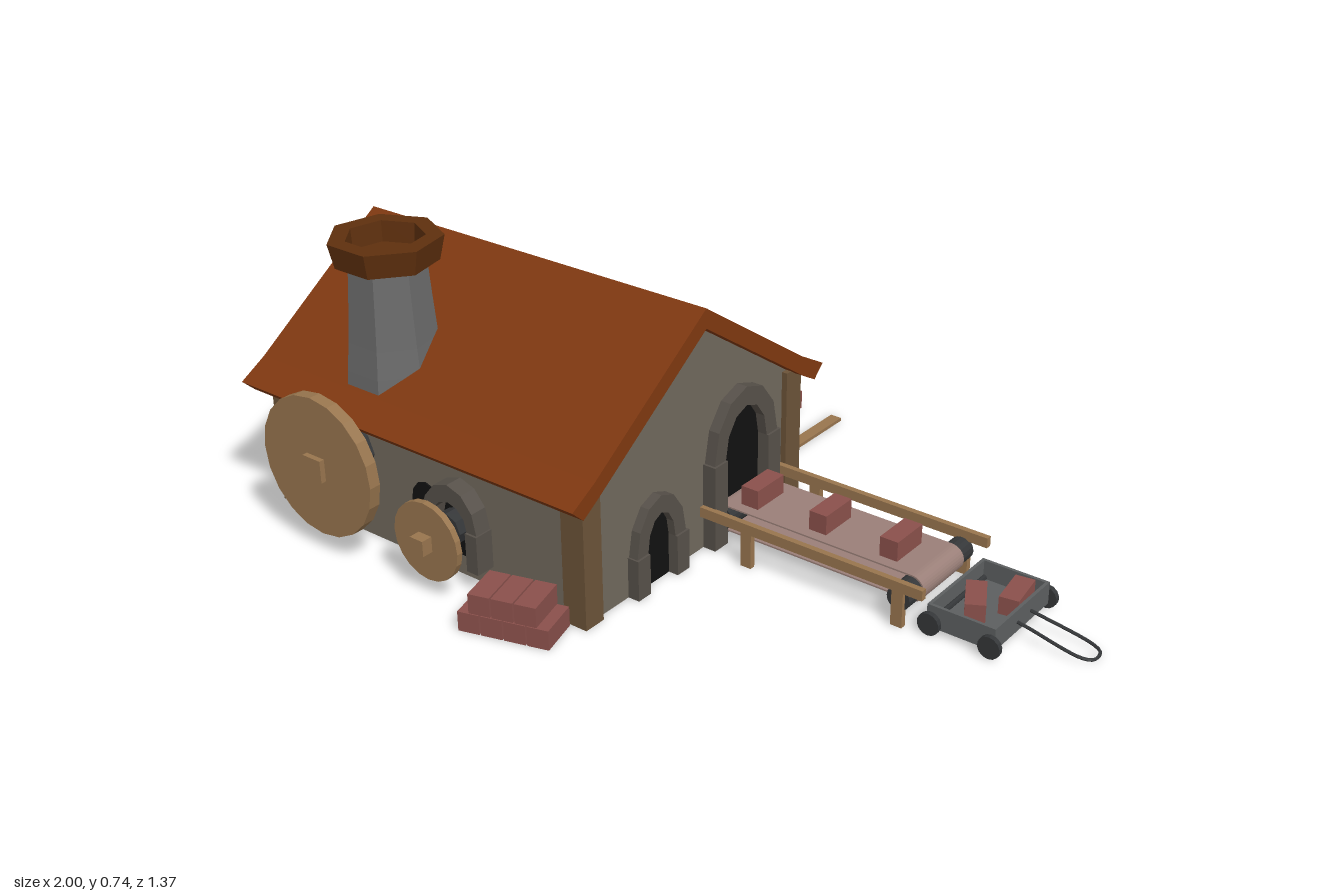
import * as THREE from 'three';

const mat = (color, side = THREE.FrontSide) =>
  new THREE.MeshStandardMaterial({ color, flatShading: true, side });
const M = {
  wall: mat(0x70685c), roof: mat(0x7f3810), cap: mat(0x5f300e), wood: mat(0x98754e),
  post: mat(0x6b5338), stone: mat(0x6a6a6a), arch: mat(0x565049), brick: mat(0x8a504b),
  belt: mat(0x9a7f78), metal: mat(0x5c5f60), dark: mat(0x343638), black: mat(0x111111),
};

function add(parent, name, geometry, material, x = 0, y = 0, z = 0) {
  const mesh = new THREE.Mesh(geometry, material);
  mesh.name = name;
  mesh.position.set(x, y, z);
  parent.add(mesh);
  return mesh;
}

// box given by its minimum and maximum along each axis
function span(parent, name, material, x0, x1, y0, y1, z0, z1) {
  return add(parent, name, new THREE.BoxGeometry(x1 - x0, y1 - y0, z1 - z0), material,
    (x0 + x1) / 2, (y0 + y1) / 2, (z0 + z1) / 2);
}

function subgroup(parent, name, x = 0, y = 0, z = 0) {
  const g = new THREE.Group();
  g.name = name;
  g.position.set(x, y, z);
  parent.add(g);
  return g;
}

const extrude = (points, depth) => new THREE.ExtrudeGeometry(
  new THREE.Shape(points.map(p => new THREE.Vector2(...p))), { depth, bevelEnabled: false });

// (z, y) profile extruded along x between x0 and x1
function alongX(parent, name, points, material, x0, x1) {
  const mesh = add(parent, name, extrude(points, x1 - x0), material, x1, 0, 0);
  mesh.rotation.y = -Math.PI / 2;
  return mesh;
}

// cylinder lying along z
function axle(parent, name, material, r, length, x, y, z, sides = 16) {
  const mesh = add(parent, name, new THREE.CylinderGeometry(r, r, length, sides), material, x, y, z);
  mesh.rotation.x = Math.PI / 2;
  return mesh;
}

// half-ring of points over an opening, from right to left
function arcPoints(halfWidth, spring, top, n = 6) {
  return Array.from({ length: n + 1 }, (_, i) => {
    const a = (i / n) * Math.PI;
    return [halfWidth * Math.cos(a), spring + (top - spring) * Math.sin(a)];
  });
}

// stone archway facing local +z: dark opening, curved head and thicker jambs
function archway(parent, name, o) {
  const g = subgroup(parent, name);
  const outer = arcPoints(o.outer * 0.95, o.spring, o.top);
  const inner = arcPoints(o.inner, o.spring, o.innerTop);
  add(g, 'archHead', extrude([...outer, ...inner.reverse()], o.depth), M.arch);
  for (const s of [-1, 1]) {
    const w = o.outer - o.inner;
    add(g, 'archJamb', new THREE.BoxGeometry(w, o.spring, o.depth + 0.006), M.arch,
      s * (o.inner + w / 2), o.spring / 2, o.depth / 2 + 0.003);
  }
  add(g, 'opening', extrude([[-o.inner, 0], [o.inner, 0], ...arcPoints(o.inner, o.spring, o.innerTop)], 0.004),
    M.black);
  return g;
}

function buildHouse(root) {
  const g = subgroup(root, 'house');
  alongX(g, 'walls', [[-0.295, 0], [0.503, 0], [0.503, 0.345], [0.105, 0.615], [-0.295, 0.345]],
    M.wall, -0.95, 0.02);
  alongX(g, 'roof', [[0.54, 0.305], [0.575, 0.338], [0.5, 0.38], [0.105, 0.65], [-0.29, 0.38],
    [-0.367, 0.338], [-0.333, 0.305], [-0.285, 0.333], [0.105, 0.6], [0.495, 0.333]], M.roof, -1, 0.06);
  for (const [x0, x1] of [[-0.965, -0.905], [-0.03, 0.035]])
    for (const [z0, z1] of [[0.455, 0.515], [-0.31, -0.25]])
      span(g, 'cornerPost', M.post, x0, x1, 0, 0.345, z0, z1);

  // two doorways in the gable end
  const small = archway(g, 'smallDoorway', { outer: 0.094, inner: 0.05, spring: 0.105, top: 0.235, innerTop: 0.19, depth: 0.025 });
  const large = archway(g, 'kilnDoorway', { outer: 0.132, inner: 0.082, spring: 0.225, top: 0.387, innerTop: 0.338, depth: 0.03 });
  small.position.set(0.02, 0, 0.255);
  large.position.set(0.02, 0, -0.065);
  small.rotation.y = large.rotation.y = Math.PI / 2;

  // openings in the front wall
  const housing = archway(g, 'wheelHousing', { outer: 0.09, inner: 0.055, spring: 0.1, top: 0.205, innerTop: 0.16, depth: 0.045 });
  housing.position.set(-0.345, 0.055, 0.503);
  add(g, 'wallOpening', extrude([[-0.045, 0], [0.045, 0], ...arcPoints(0.045, 0.07, 0.125)], 0.005),
    M.black, -0.46, 0.085, 0.502);

  // seven-sided chimney with a hollow flared cap
  const c = subgroup(g, 'chimney', -0.66, 0, 0.385);
  const lathe = pts => new THREE.LatheGeometry(pts.map(p => new THREE.Vector2(...p)), 7, Math.PI);
  add(c, 'stack', lathe([[0.122, 0.35], [0.116, 0.42], [0.108, 0.49], [0.1, 0.59], [0.093, 0.69]]), M.stone);
  add(c, 'chimneyCap', lathe([[0, 0.69], [0.092, 0.69], [0.095, 0.742], [0.138, 0.742], [0.124, 0.68], [0.07, 0.68]].reverse()),
    mat(0x5f300e, THREE.DoubleSide));
}

function buildWheel(root, name, x, y, r, z0, z1, axleR) {
  const g = subgroup(root, name, x, y, 0);
  axle(g, 'disc', M.wood, r, z1 - z0, 0, 0, (z0 + z1) / 2, 20);
  axle(g, 'axle', M.dark, axleR, 0.1, 0, 0, 0.55, 10);
  axle(g, 'bearing', M.dark, axleR * 1.9, 0.045, 0, 0, 0.525, 8);
  add(g, 'hub', new THREE.BoxGeometry(axleR * 1.8, axleR * 1.8, 0.05), M.wood, 0, 0, 0.62);
}

function buildConveyor(root) {
  const g = subgroup(root, 'conveyor');
  for (const [z0, z1] of [[-0.22, -0.205], [0.065, 0.08]]) {
    span(g, 'rail', M.wood, 0.02, 0.637, 0.09, 0.116, z0, z1);
    for (const x of [0.14, 0.558]) span(g, 'leg', M.wood, x, x + 0.03, 0, 0.092, z0, z1);
  }
  // belt loop around two rollers
  const y = 0.067, xa = 0.01, xb = 0.57;
  for (const x of [xa + 0.03, xb]) axle(g, 'roller', M.dark, 0.03, x === xb ? 0.28 : 0.18, x, y, -0.07);
  const loop = (r, Path) => {
    const p = new Path();
    p.absarc(xb, y, r, -Math.PI / 2, Math.PI / 2);
    p.absarc(xa + 0.03, y, r, Math.PI / 2, Math.PI * 1.5);
    p.closePath();
    return p;
  };
  const belt = loop(0.034, THREE.Shape);
  belt.holes.push(loop(0.03, THREE.Path));
  add(g, 'belt', new THREE.ExtrudeGeometry(belt, { depth: 0.175, bevelEnabled: false, curveSegments: 8 }),
    M.belt, 0, 0, -0.16);
  for (const x of [0.098, 0.294, 0.489])
    add(g, 'beltBrick', new THREE.BoxGeometry(0.048, 0.05, 0.105), M.brick, x, 0.126, -0.066);
}

function buildCart(root) {
  const g = subgroup(root, 'cart');
  span(g, 'floor', M.metal, 0.637, 0.81, 0.015, 0.024, -0.19, 0.055);
  for (const z of [-0.19, 0.047]) span(g, 'sideWall', M.metal, 0.637, 0.81, 0.015, 0.072, z, z + 0.008);
  for (const x of [0.637, 0.802]) span(g, 'endWall', M.metal, x, x + 0.008, 0.015, 0.072, -0.19, 0.055);
  for (const x of [0.648, 0.802]) {
    axle(g, 'cartAxle', M.dark, 0.007, 0.27, x, 0.028, -0.067, 8);
    for (const z of [-0.197, 0.062]) axle(g, 'cartWheel', M.dark, 0.028, 0.013, x, 0.028, z, 14);
  }
  // looped pull handle sloping to the ground
  const pts = [[0.81, 0.04, -0.105], [0.835, 0.036, -0.105], [0.965, 0.012, -0.107], [0.99, 0.008, -0.095],
    [0.995, 0.006, -0.075], [0.99, 0.008, -0.055], [0.965, 0.012, -0.043], [0.835, 0.036, -0.045], [0.81, 0.04, -0.045]];
  const curve = new THREE.CatmullRomCurve3(pts.map(p => new THREE.Vector3(...p)));
  add(g, 'handle', new THREE.TubeGeometry(curve, 40, 0.004, 6), M.dark);
  for (const [x, y, z, ry] of [[0.7, 0.05, -0.05, 0.5], [0.768, 0.055, -0.115, 0.15]])
    add(g, 'cartBrick', new THREE.BoxGeometry(0.048, 0.045, 0.105), M.brick, x, y, z).rotation.y = ry;
}

function buildBrickPiles(root) {
  // stepped stack on two planks behind the house
  const back = subgroup(root, 'backBrickStack');
  for (const x of [-0.305, -0.12]) span(back, 'plank', M.wood, x, x + 0.032, 0, 0.009, -0.687, -0.33);
  for (let row = 0; row < 3; row++)
    for (let layer = 0; layer < 3; layer++)
      for (let i = 0; i < 4 - row - layer; i++)
        add(back, 'brick', new THREE.BoxGeometry(0.05, 0.051, 0.107), M.brick,
          -0.288 + i * 0.0565, 0.036 + layer * 0.053, -0.395 - row * 0.111);

  // two-layer stack set at an angle in front
  const front = subgroup(root, 'frontBrickStack', -0.103, 0, 0.602);
  front.rotation.y = 0.28;
  for (const [n, y] of [[4, 0.025], [3, 0.077]])
    for (let i = 0; i < n; i++)
      add(front, 'brick', new THREE.BoxGeometry(0.053, 0.05, 0.108), M.brick, (i - (n - 1) / 2) * 0.057, y, 0);
}

export function createModel() {
  const root = new THREE.Group();
  root.name = 'brickWorks';
  buildHouse(root);
  buildWheel(root, 'largeWheel', -0.688, 0.23, 0.18, 0.6, 0.631, 0.032);
  buildWheel(root, 'smallWheel', -0.354, 0.14, 0.1, 0.6, 0.616, 0.022);
  buildConveyor(root);
  buildCart(root);
  buildBrickPiles(root);
  return root;
}
